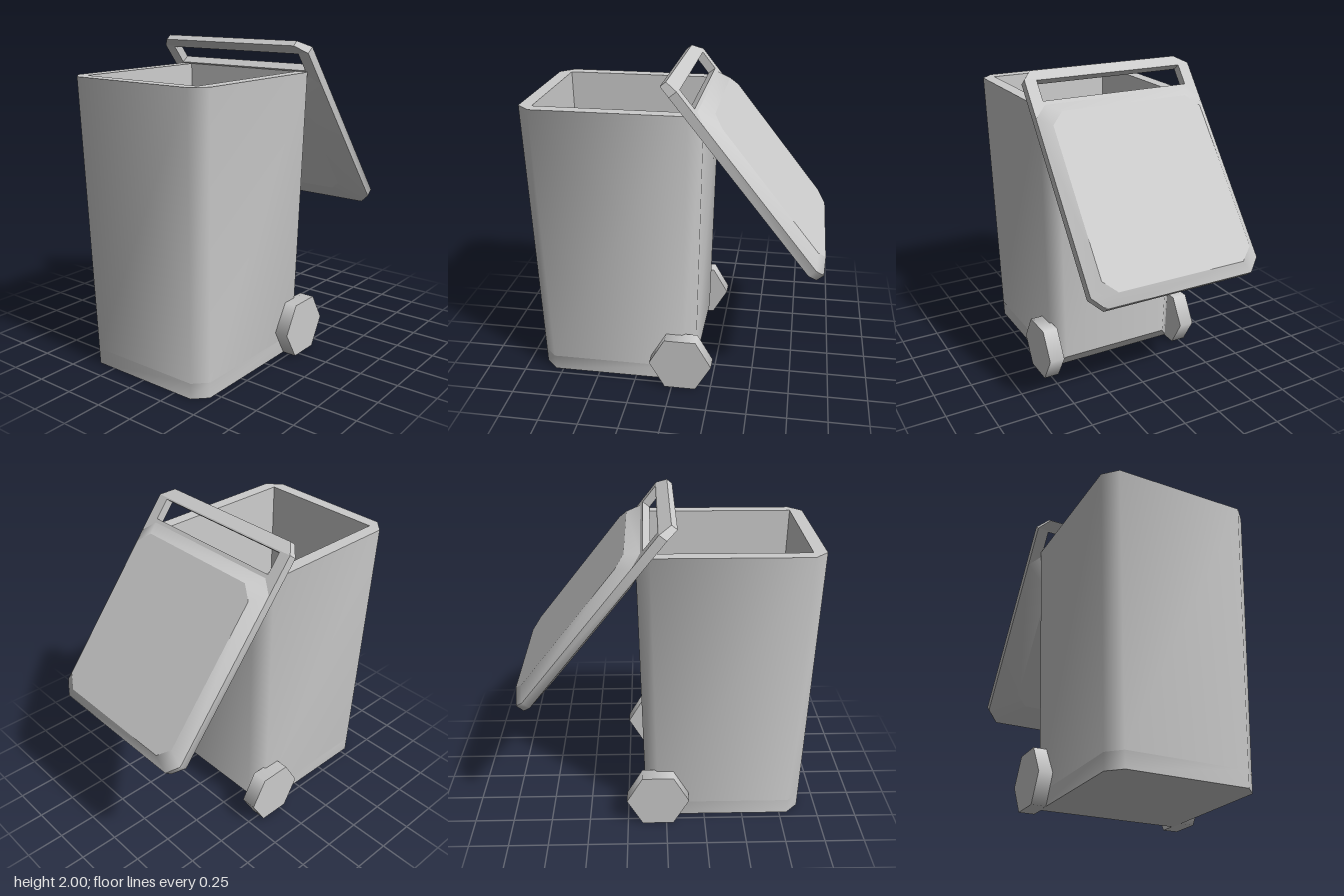
import * as THREE from 'three';
import { toCreasedNormals, mergeGeometries } from 'three/addons/utils/BufferGeometryUtils.js';

const CREASE = 0.95;
const material = new THREE.MeshStandardMaterial({ color: 0xcccccc });

function mesh(geometry, name) {
  const m = new THREE.Mesh(geometry, material);
  m.name = name;
  return m;
}

// Rectangle x0..x1 by +-h at height y, corners cut by c0 (at x0) and c1 (at x1)
function ring(y, x0, x1, h, c0, c1 = c0) {
  return [
    [x0 + c0, h], [x1 - c1, h], [x1, h - c1], [x1, c1 - h],
    [x1 - c1, -h], [x0 + c0, -h], [x0, c0 - h], [x0, h - c0],
  ].map(([x, z]) => new THREE.Vector3(x, y, z));
}

function trianglesToGeometry(tris) {
  const pos = [];
  for (const [a, b, c] of tris) {
    const area = b.clone().sub(a).cross(c.clone().sub(a)).length();
    if (area > 1e-7) for (const p of [a, b, c]) pos.push(p.x, p.y, p.z);
  }
  const g = new THREE.BufferGeometry();
  g.setAttribute('position', new THREE.Float32BufferAttribute(pos, 3));
  return toCreasedNormals(g, CREASE);
}

// Capped skin over rings: smooth around each band, sharp between bands
function loft(rings) {
  const parts = [];
  const n = rings[0].length;
  for (let r = 0; r < rings.length - 1; r++) {
    const P = rings[r], Q = rings[r + 1], tris = [];
    for (let i = 0; i < n; i++) {
      const j = (i + 1) % n;
      tris.push([P[i], P[j], Q[j]], [P[i], Q[j], Q[i]]);
    }
    parts.push(trianglesToGeometry(tris));
  }
  const first = [], last = [], A = rings[0], B = rings[rings.length - 1];
  for (let i = 1; i < n - 1; i++) {
    first.push([A[0], A[i + 1], A[i]]);
    last.push([B[0], B[i], B[i + 1]]);
  }
  parts.push(trianglesToGeometry(first), trianglesToGeometry(last));
  return mergeGeometries(parts);
}

function createLid() {
  const lid = new THREE.Group();
  lid.name = 'lid';

  // Rim plate with the hand opening
  const s = new THREE.Shape();
  s.moveTo(0, -0.565);
  s.lineTo(1.325, -0.565);
  s.lineTo(1.407, -0.49);
  s.lineTo(1.407, 0.49);
  s.lineTo(1.325, 0.565);
  s.lineTo(0, 0.565);
  s.closePath();
  const hole = new THREE.Path();
  hole.moveTo(0.01, -0.49);
  hole.lineTo(0.01, 0.49);
  hole.lineTo(0.145, 0.49);
  hole.lineTo(0.145, -0.49);
  hole.closePath();
  s.holes.push(hole);
  const plate = new THREE.ExtrudeGeometry(s, { depth: 0.057, bevelEnabled: false });
  plate.rotateX(-Math.PI / 2);
  lid.add(mesh(toCreasedNormals(plate, CREASE), 'lidRim'));

  // Raised panel outside, shallow bulge underneath
  lid.add(mesh(loft([
    ring(0.057, 0.17, 1.405, 0.565, 0.08),
    ring(0.116, 0.246, 1.339, 0.5, 0.08),
  ]), 'lidPanel'));
  lid.add(mesh(loft([
    ring(-0.046, 0.325, 1.237, 0.4, 0.07),
    ring(0, 0.178, 1.407, 0.565, 0.08),
  ]), 'lidUnderside'));

  // Grip bar, bent down and narrowed at its free edge
  const bar = (x, top, bottom, h) => [[top, h], [top, -h], [bottom, -h], [bottom, h]]
    .map(([y, z]) => new THREE.Vector3(x, y, z));
  lid.add(mesh(loft([
    bar(0, 0.057, 0, 0.565),
    bar(-0.072, 0.024, -0.02, 0.5),
  ]), 'handle'));

  // Swung open over the back of the bin
  lid.position.set(0, 1.93, 0);
  lid.rotation.z = -0.901;
  return lid;
}

export function createModel() {
  const bin = new THREE.Group();
  bin.name = 'wheeledBin';

  // Hollow tapered body with a sloped lower back edge
  bin.add(mesh(loft([
    ring(0, -0.88, 0.05, 0.455, 0.08, 0),
    ring(0.1, -0.882, 0.135, 0.458, 0.08, 0.083),
    ring(1.808, -0.922, 0.178, 0.502, 0.083),
    ring(1.808, -0.84, 0.095, 0.42, 0),
    ring(0.1, -0.795, 0.055, 0.375, 0),
  ]), 'body'));

  // Six-sided wheels
  for (const side of [1, -1]) {
    const g = new THREE.CylinderGeometry(0.2, 0.2, 0.1, 6);
    g.rotateY(Math.PI / 2);
    g.rotateX(Math.PI / 2);
    const wheel = mesh(g, side > 0 ? 'leftWheel' : 'rightWheel');
    wheel.position.set(0.055, 0.1735, side * 0.497);
    bin.add(wheel);
  }

  bin.add(createLid());
  return bin;
}
